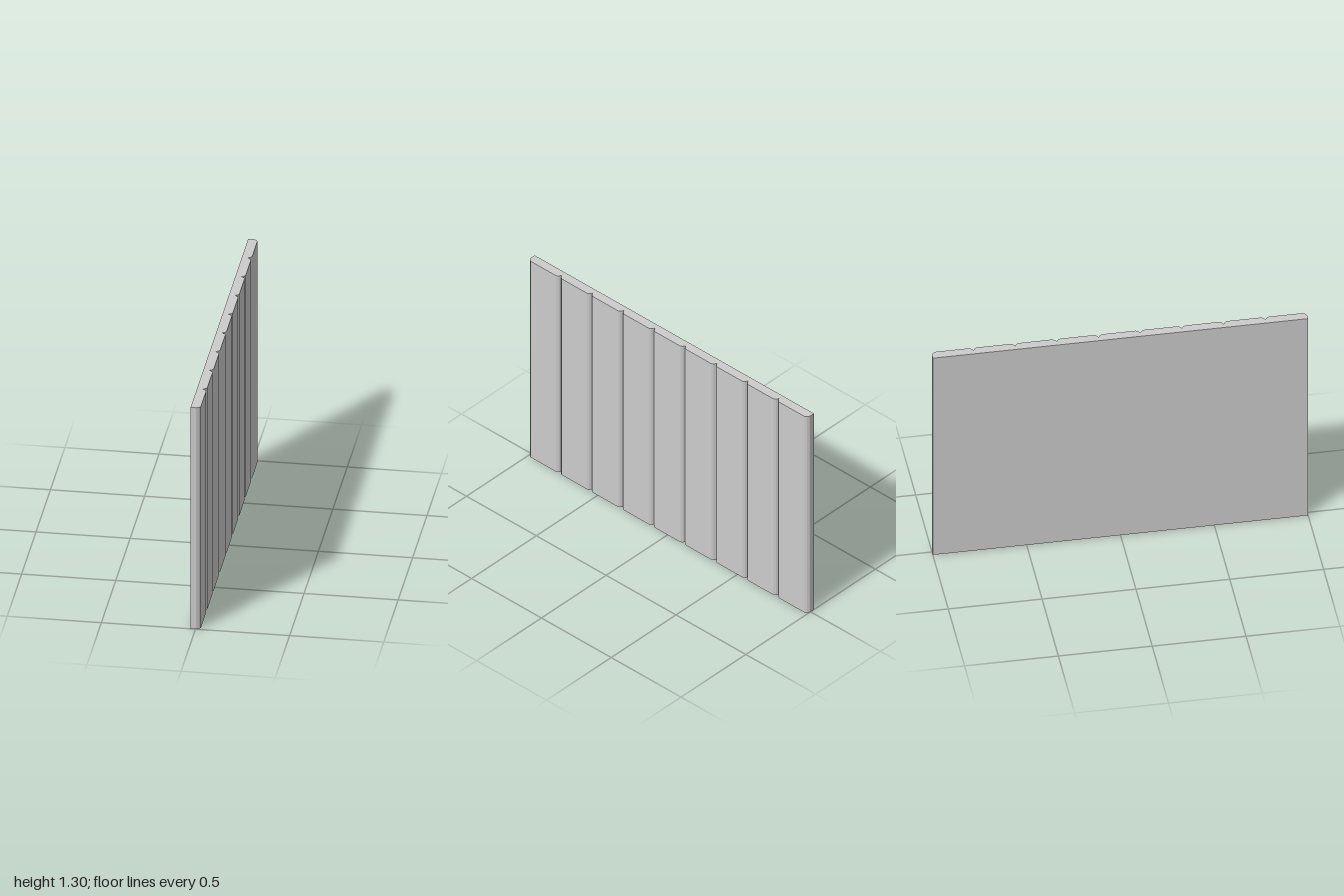
import * as THREE from 'three';

const PLANKS = 9, HEIGHT = 1.3, BACK = -0.026, FACE = 0.026;
const WIDTH = 2 / PLANKS;

// Eased plank edge: [x, inset from the plank joint]
const EDGE = [[0.004, 0], [0.01, 0.003], [0.019, 0.009], [FACE, 0.02]];

export function createModel() {
  const group = new THREE.Group();
  group.name = 'plankPanel';

  // Horizontal cross-section: flat back, grooved planks on the +x face
  const outline = [new THREE.Vector2(BACK, 1), new THREE.Vector2(BACK, -1)];
  for (let i = 0; i < PLANKS; i++) {
    const start = -1 + i * WIDTH, end = start + WIDTH;
    // Neighbouring planks share the bottom point of the groove
    EDGE.slice(i ? 1 : 0).forEach(([x, d]) => outline.push(new THREE.Vector2(x, start + d)));
    [...EDGE].reverse().forEach(([x, d]) => outline.push(new THREE.Vector2(x, end - d)));
  }

  // Extrude the section upward
  const geometry = new THREE.ExtrudeGeometry(new THREE.Shape(outline), {
    depth: HEIGHT, bevelEnabled: false,
  });
  geometry.rotateX(-Math.PI / 2);

  const panel = new THREE.Mesh(geometry, new THREE.MeshStandardMaterial({ color: 0xcccccc }));
  panel.name = 'groovedPanel';
  group.add(panel);
  return group;
}
